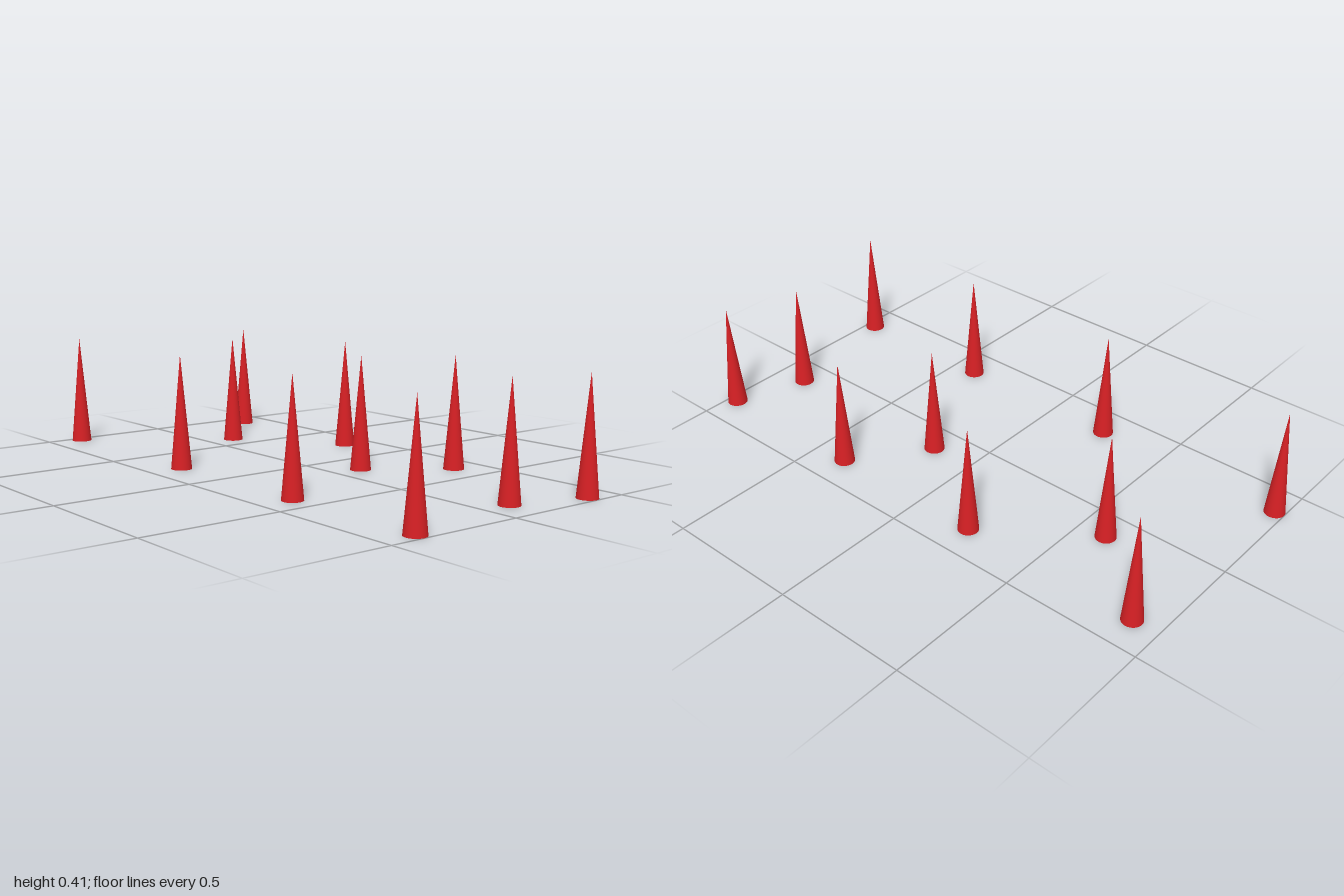
import * as THREE from 'three';

const RADIUS = 0.037;
const HEIGHT = 0.406;

// Rows of cones: one x per row, a list of z positions along it
const ROWS = [
  { name: 'rightRow', x: -0.376, z: [-0.963, -0.236, 0.403, 0.963] },
  { name: 'middleRow', x: 0.108, z: [-0.603, 0.173, 0.875] },
  { name: 'leftRow', x: 0.375, z: [-0.9, -0.228, 0.368, 0.963] },
];

export function createModel() {
  const model = new THREE.Group();
  model.name = 'coneField';

  // Slender closed cone standing on the ground
  const geometry = new THREE.ConeGeometry(RADIUS, HEIGHT, 32);
  geometry.translate(0, HEIGHT / 2, 0);
  const red = new THREE.MeshStandardMaterial({ color: 0xd62024 });

  for (const { name, x, z } of ROWS) {
    const row = new THREE.Group();
    row.name = name;
    z.forEach((zPos, i) => {
      const cone = new THREE.Mesh(geometry, red);
      cone.name = `cone${i + 1}`;
      cone.position.set(x, 0, zPos);
      row.add(cone);
    });
    model.add(row);
  }
  return model;
}
